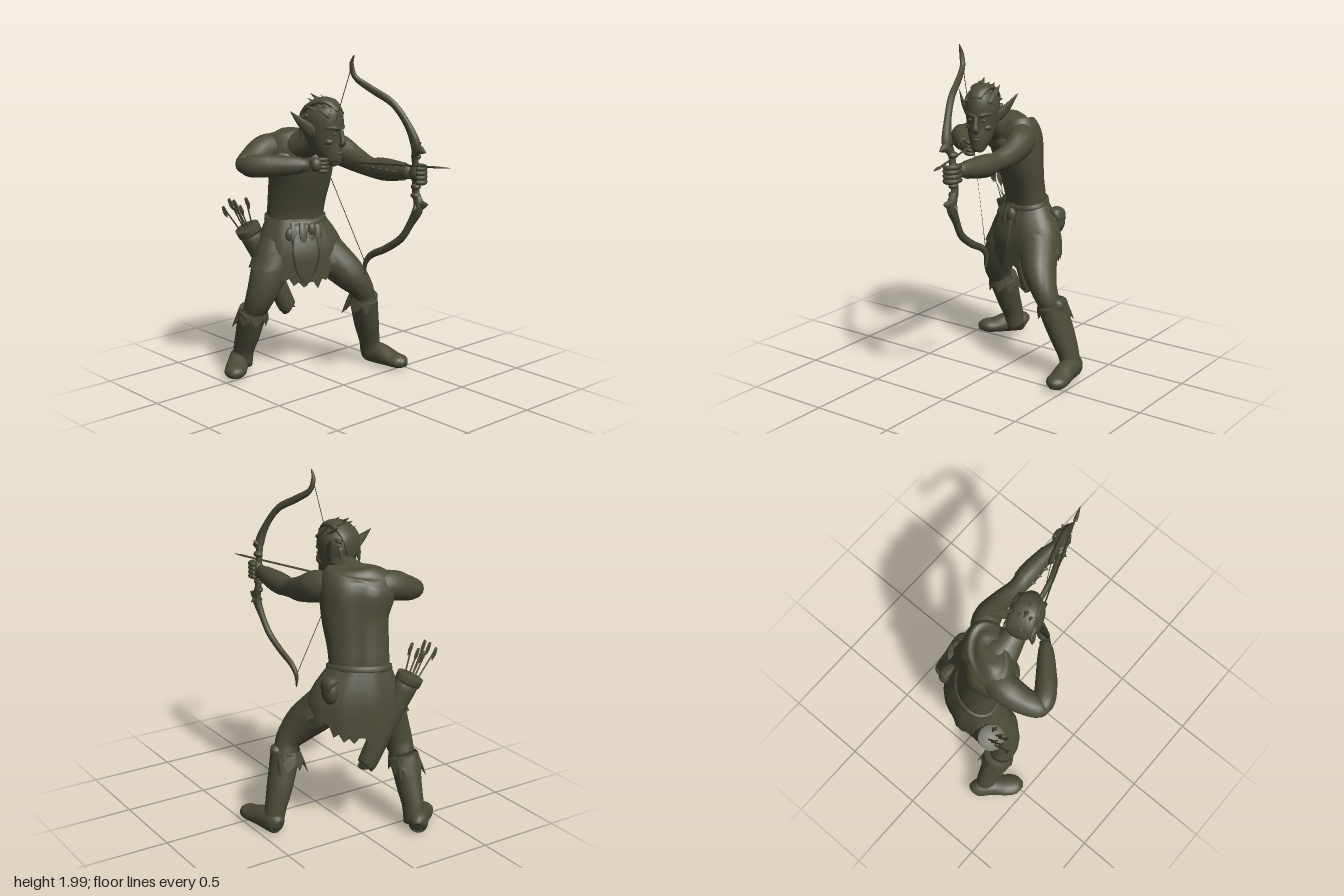
import * as THREE from 'three';

const V = (x, y, z) => new THREE.Vector3(x, y, z);
const olive = new THREE.MeshStandardMaterial({ color: 0x4c4b39, side: THREE.DoubleSide });
olive.name = 'dark olive';

// Skin between closed rings of points; optional caps
function loft(rings, capped = true) {
  const n = rings[0].length, pos = [], idx = [];
  rings.forEach(r => r.forEach(p => pos.push(p.x, p.y, p.z)));
  for (let i = 0; i < rings.length - 1; i++) for (let j = 0; j < n; j++) {
    const a = i * n + j, b = i * n + (j + 1) % n;
    idx.push(a, b, b + n, a, b + n, a + n);
  }
  if (capped) [0, rings.length - 1].forEach(i => {
    const c = rings[i].reduce((s, p) => s.add(p), V(0, 0, 0)).divideScalar(n), k = pos.length / 3;
    pos.push(c.x, c.y, c.z);
    for (let j = 0; j < n; j++) {
      const a = i * n + j, b = i * n + (j + 1) % n;
      i ? idx.push(k, a, b) : idx.push(k, b, a);
    }
  });
  const g = new THREE.BufferGeometry();
  g.setAttribute('position', new THREE.Float32BufferAttribute(pos, 3));
  g.setIndex(idx);
  g.computeVertexNormals();
  return g;
}

// Elliptical sections [x, y, z, a, b] swept along a smooth path; a lies along the side hint
function sweep(pts, hint = V(1, 0, 0), seg = 16, steps = 4, capped = true) {
  const path = new THREE.CatmullRomCurve3(pts.map(p => V(p[0], p[1], p[2])), false, 'catmullrom');
  const size = new THREE.CatmullRomCurve3(pts.map(p => V(p[3], p[4] ?? p[3], 0)), false, 'catmullrom');
  const rings = [], total = (pts.length - 1) * steps;
  for (let i = 0; i <= total; i++) {
    const c = path.getPoint(i / total), r = size.getPoint(i / total), t = path.getTangent(i / total);
    const s = hint.clone().addScaledVector(t, -t.dot(hint)).normalize(), o = t.clone().cross(s);
    rings.push(Array.from({ length: seg }, (_, j) => {
      const f = j / seg * Math.PI * 2;
      return c.clone().addScaledVector(s, Math.max(r.x, .001) * Math.cos(f)).addScaledVector(o, Math.max(r.y, .001) * Math.sin(f));
    }));
  }
  return loft(rings, capped);
}

export function createModel() {
  const root = new THREE.Group();
  const add = (name, geo, parent = root) => {
    const m = new THREE.Mesh(geo, olive);
    m.name = name;
    parent.add(m);
    return m;
  };
  const ball = (name, p, s, parent = root) => {
    const m = add(name, new THREE.SphereGeometry(1, 16, 12), parent);
    m.position.set(...p); m.scale.set(...s);
    return m;
  };
  const rod = (name, a, b, r, parent) => add(name, sweep([[...a, r], [...b, r]], V(.3, .2, .9), 6, 1), parent);
  const spike = (name, a, b, w, d = w, hint = V(1, 0, 0), parent = root) =>
    add(name, sweep([[...a, w, d], [...a.map((v, i) => (v + b[i]) / 2), w * .75, d * .75], [...b, .001, .001]], hint, 8, 3), parent);

  // Torso, turned towards the model's right, with a groove along the spine
  const side = V(.83, 0, .56), fwd = V(-.56, 0, .83);
  const torso = sweep([
    [-.05, .88, -.39, .17, .12], [-.045, 1.0, -.385, .17, .115], [-.05, 1.12, -.36, .175, .12],
    [-.055, 1.26, -.325, .19, .138], [-.075, 1.38, -.31, .212, .15], [-.09, 1.45, -.31, .21, .138],
    [-.1, 1.495, -.315, .18, .11], [-.1, 1.52, -.32, .12, .07], [-.1, 1.528, -.32, .03, .02]], side, 40);
  const tp = torso.attributes.position;
  for (let i = 0; i < tp.count; i++) {
    const p = V().fromBufferAttribute(tp, i), d = p.clone().sub(V(-.07, p.y, -.33));
    const u = d.dot(side), back = d.dot(fwd) < -.03 && p.y < 1.48 ? 1 : 0;
    p.addScaledVector(fwd, back * (.014 * Math.exp(-((u / .03) ** 2)) - .008 * Math.exp(-(((Math.abs(u) - .1) / .04) ** 2 + ((p.y - 1.38) / .08) ** 2))));
    tp.setXYZ(i, p.x, p.y, p.z);
  }
  torso.computeVertexNormals();
  add('torso', torso);
  for (const s of [-1, 1]) {
    const c = V(-.07, 1.365, -.31).addScaledVector(side, .085 * s).addScaledVector(fwd, .085);
    ball('chestMuscle', c.toArray(), [.095, .065, .07]).rotation.y = -.59;
  }
  add('neck', sweep([[-.1, 1.42, -.3, .14, .1], [-.11, 1.46, -.2, .095, .09], [-.11, 1.5, -.12, .07], [-.11, 1.54, -.04, .068]]));

  // Head, turned slightly to the left
  const head = new THREE.Group();
  head.name = 'head';
  head.position.set(-.11, 0, -.02);
  head.rotation.y = .3;
  root.add(head);
  add('skull', sweep([[0, 1.355, .06, .022, .016], [0, 1.37, .055, .038, .036], [0, 1.42, .03, .06, .07],
    [0, 1.49, -.005, .082, .1], [0, 1.56, -.025, .095, .122], [0, 1.63, -.025, .098, .122],
    [0, 1.68, -.035, .08, .1], [0, 1.71, -.04, .03, .04]], V(1, 0, 0), 24), head);
  add('nose', sweep([[0, 1.57, .09, .012], [0, 1.52, .102, .015], [0, 1.49, .107, .02, .016], [0, 1.475, .088, .014]]), head);
  add('lips', sweep([[-.035, 1.43, .065, .003], [0, 1.433, .094, .008], [.035, 1.43, .065, .003]], V(0, 1, 0), 8), head);
  for (const s of [-1, 1]) {
    add('brow', sweep([[0, 1.57, .09, .012], [s * .04, 1.578, .08, .014], [s * .078, 1.585, .04, .008]], V(0, 1, 0), 8), head);
    ball('eye', [s * .038, 1.545, .076], [.016, .01, .01], head);
    ball('cheek', [s * .048, 1.5, .036], [.03, .022, .035], head);
    add('ear', sweep([[s * .08, 1.53, -.03, .016, .012], [s * .1, 1.56, -.045, .034, .014],
      [s * .14, 1.61, -.08, .027, .01], [s * .18, 1.675, -.13, .002, .002]], V(0, 1, .4), 10), head);
  }
  add('hair', sweep([[0, 1.67, .085, .03, .012], [0, 1.715, .03, .055, .02], [0, 1.715, -.05, .07, .024],
    [0, 1.66, -.125, .075, .02], [0, 1.58, -.14, .06, .016], [0, 1.52, -.125, .03, .012]], V(1, 0, 0), 16), head);
  for (let i = 0; i < 18; i++) {
    const u = (i % 6 - 2.5) / 2.5, row = Math.floor(i / 6), z = .06 - row * .07;
    const y = [1.685, 1.705, 1.685][row] - .04 * u * u;
    spike('hairLock', [u * .065, y, z], [u * .08, y + [.05, .035, -.035][row] + (i % 3) * .012, z - [.09, .09, .07][row]], .02, .014, V(1, 0, 0), head);
  }
  for (let i = -2; i <= 2; i++) spike('napeLock', [i * .035, 1.61, -.115], [i * .04, 1.49 + .02 * (i & 1), -.13], .024, .016, V(1, 0, 0), head);

  // Bow arm stretched forward
  add('leftArm', sweep([[.01, 1.42, -.27, .06, .07], [.08, 1.41, -.15, .08, .092], [.105, 1.365, -.02, .06, .075],
    [.095, 1.338, .12, .052, .057], [.1, 1.338, .22, .056, .062], [.1, 1.348, .34, .047, .052],
    [.09, 1.355, .46, .032, .038]], V(1, 0, 0)));
  add('leftBracer', sweep([[.1, 1.338, .18, .058, .063], [.1, 1.34, .26, .06, .065], [.096, 1.35, .4, .046, .05]], V(1, 0, 0), 16, 4, false));
  for (let i = 0; i < 4; i++) spike('bracerTie', [.05, 1.35, .2 + i * .055], [.025, 1.355, .21 + i * .055], .012);
  ball('leftPalm', [.09, 1.355, .5], [.036, .054, .048]);
  for (let i = 0; i < 4; i++) add('leftFinger', sweep([[.118, 1.392 - i * .026, .48, .014], [.122, 1.392 - i * .026, .53, .015],
    [.085, 1.389 - i * .026, .558, .014], [.052, 1.389 - i * .026, .535, .012]], V(0, 1, 0), 8));

  // Drawing arm, folded at the elbow
  add('rightUpperArm', sweep([[-.13, 1.43, -.37, .06, .07], [-.21, 1.427, -.38, .082, .086], [-.29, 1.412, -.382, .085, .086],
    [-.38, 1.378, -.362, .072, .075], [-.455, 1.358, -.33, .058, .062], [-.475, 1.355, -.3, .035]], V(0, 1, 0)));
  add('rightForearm', sweep([[-.475, 1.355, -.35, .035], [-.455, 1.355, -.29, .065, .06], [-.395, 1.36, -.2, .064, .06],
    [-.31, 1.365, -.1, .05, .046], [-.24, 1.37, -.025, .034, .03]], V(0, 1, 0)));
  add('rightBracer', sweep([[-.4, 1.36, -.205, .068, .062], [-.31, 1.365, -.1, .054, .05], [-.265, 1.368, -.05, .045, .04]], V(0, 1, 0), 16, 4, false));
  ball('rightPalm', [-.205, 1.37, .0], [.04, .042, .033]);
  for (let i = 0; i < 4; i++) add('rightFinger', sweep([[-.205, 1.4 - i * .022, .01, .012], [-.17, 1.4 - i * .022, .035, .012],
    [-.145, 1.397 - i * .022, .02, .011], [-.16, 1.395 - i * .022, -.005, .01]], V(0, 1, 0), 8));

  // Recurve bow with knuckled, thorny limbs
  add('bow', sweep([[-.1, 1.995, .195, .003, .004], [-.1, 1.94, .175, .012, .014], [-.083, 1.87, .19, .014, .018],
    [-.045, 1.81, .28, .015, .022], [.0, 1.74, .4, .017, .022], [.035, 1.63, .48, .018, .024], [.06, 1.52, .52, .024, .036],
    [.075, 1.45, .5, .018, .022], [.085, 1.36, .5, .018, .022], [.09, 1.25, .495, .018, .024], [.088, 1.17, .52, .024, .036],
    [.08, 1.07, .47, .018, .024], [.067, .97, .405, .018, .022], [.055, .89, .29, .016, .022], [.048, .84, .19, .015, .02],
    [.043, .78, .14, .012, .016], [.04, .705, .145, .003, .004]], V(1, 0, .1), 10));
  for (const [y, x, d] of [[1.5, .065, 1], [1.18, .088, -1]]) {
    spike('bowThorn', [x, y, .53], [x, y - .015 * d, .595], .018, .028);
    for (const s of [-1, 1]) spike('bowThorn', [x, y, .51], [x + s * .04, y + .03 * d, .52], .018, .018, V(0, 0, 1));
  }
  for (const y of [1.45, 1.28, 1.23]) ball('bowBinding', [.085, y, .5], [.026, .02, .03]);
  const nock = [-.15, 1.385, .0];
  rod('upperString', [-.1, 1.93, .175], nock, .0025);
  rod('lowerString', [.043, .78, .14], nock, .0025);
  rod('arrowShaft', [-.16, 1.385, -.02], [.1, 1.408, .65], .006);
  spike('arrowHead', [.09, 1.407, .63], [.125, 1.41, .72], .013, .006);

  // Belt, ragged skirt and hanging strips
  const belt = (y, f, a, b) => Array.from({ length: 40 }, (_, j) => {
    const t = j / 40 * Math.PI * 2;
    return V(-.045, y - f * Math.sin(t), -.385).addScaledVector(side, a * Math.cos(t)).addScaledVector(fwd, b * Math.sin(t));
  });
  add('belt', loft([belt(.965, .02, .178, .125), belt(.97, .02, .186, .132), belt(.995, .02, .184, .13), belt(1.0, .02, .17, .116)], false));
  const N = 56, hipSide = V(.92, 0, .39), hipFwd = V(-.39, 0, .92), skirtRows = [];
  for (let k = 0; k <= 8; k++) skirtRows.push(Array.from({ length: N }, (_, j) => {
    const f = j / N * Math.PI * 2, sn = Math.sin(f);
    const hem = .715 - .1 * sn ** 6 - [0, .035, .012, .05, .02, .06, .005][j % 7];
    const y = .99 + (hem - .99) * k / 8, e = Math.sin(Math.min(1, (.99 - y) / .24) * Math.PI / 2);
    return V(-.045 + .025 * e, y, -.385 + .012 * e)
      .addScaledVector(hipSide, (.175 + .095 * e) * Math.cos(f))
      .addScaledVector(hipFwd, (.122 + .053 * e) * sn * (1 + .03 * Math.sin(f * 9)));
  }));
  add('skirt', loft(skirtRows, false));
  // Points just outside the front of the skirt: u across, h height, d outwards
  const front = (u, h, d) => V(-.035, h, -.38).addScaledVector(hipSide, u).addScaledVector(hipFwd, d).toArray();
  for (let i = 0; i < 5; i++) {
    const u = -.11 + i * .05, d = .13 - u * u * 3;
    add('hangingStrip', sweep([[...front(u, .97, d), .016, .006], [...front(u, .89, d + .03), .024, .007],
      [...front(u, .79 - (i % 3) * .035, d + .045), .002, .002]], hipSide, 8));
  }
  add('frontPanel', sweep([[...front(0, .95, .13), .06, .008], [...front(0, .8, .178), .085, .008],
    [...front(0, .68, .18), .06, .006], [...front(0, .59, .175), .003]], hipSide, 10));
  ball('beltKnot', front(.05, .925, .14), [.03, .045, .025]);
  ball('beltPurse', front(-.08, .9, .125), [.035, .045, .025]);
  ball('sidePouch', [.17, .88, -.41], [.042, .075, .058]);
  add('pouchFlap', sweep([[.14, .95, -.41, .05, .02], [.18, .935, -.41, .055, .025], [.2, .89, -.41, .045, .012]], V(0, 0, 1), 10));

  // Quiver hung behind the right hip, with spare arrows
  add('quiver', sweep([[-.05, .4, -.455, .045], [-.065, .43, -.46, .057], [-.17, .68, -.5, .064], [-.28, .91, -.54, .07]], V(1, 0, 0), 16));
  add('quiverRim', sweep([[-.268, .885, -.537, .075], [-.288, .93, -.545, .077]], V(1, 0, 0), 16));
  for (let i = 0; i < 6; i++) {
    const u = i % 3 - 1, w = i < 3 ? -.02 : .025;
    const tip = [-.38 + u * .045 + w, 1.07 + (i % 2) * .04, -.55 + w];
    rod('spareArrow', [-.28 + u * .025, .88, -.54 + w], tip, .005);
    for (const h of [V(1, 0, 0), V(0, 0, 1)]) add('fletching', sweep([
      [tip[0] + .03, tip[1] - .07, tip[2], .002], [tip[0] + .018, tip[1] - .04, tip[2], .014, .003], [...tip, .01, .003]], h, 6, 2));
  }

  // Legs, boots and ragged cuffs
  const legs = {
    left: {
      thigh: [[.04, .88, -.36, .11], [.11, .76, -.295, .12], [.2, .625, -.18, .098, .108], [.27, .52, -.135, .072, .08], [.31, .42, -.155, .062]],
      boot: [[.305, .46, -.155, .079, .098], [.325, .38, -.165, .077, .092], [.363, .26, -.185, .07, .085], [.398, .15, -.198, .06, .07], [.418, .05, -.202, .056, .066]],
      foot: [[.415, .06, -.27, .02, .03], [.418, .068, -.24, .052, .064], [.43, .07, -.13, .058, .068], [.445, .054, -.03, .066, .046], [.452, .05, .03, .058, .04], [.455, .045, .068, .02, .02]],
      hint: V(1, 0, 0), out: [.95, .3]
    },
    right: {
      thigh: [[-.13, .88, -.42, .11], [-.19, .75, -.42, .118], [-.25, .61, -.415, .104], [-.29, .5, -.435, .084], [-.298, .41, -.48, .068]],
      boot: [[-.29, .42, -.49, .09, .09], [-.292, .35, -.518, .082, .086], [-.288, .25, -.557, .07, .08], [-.285, .15, -.6, .06, .07], [-.282, .05, -.62, .058, .066]],
      foot: [[-.25, .055, -.7, .02, .03], [-.265, .066, -.68, .054, .062], [-.325, .068, -.61, .06, .066], [-.39, .052, -.545, .068, .046], [-.435, .05, -.5, .06, .04], [-.465, .045, -.47, .02, .02]],
      hint: V(.7, 0, .7), out: [-.7, .7]
    }
  };
  for (const [name, L] of Object.entries(legs)) {
    add(name + 'Leg', sweep(L.thigh, V(1, 0, 0), 18));
    add(name + 'Boot', sweep(L.boot, V(1, 0, 0), 18));
    add(name + 'Foot', sweep(L.foot, L.hint, 18));
    // Skirt cloth draped over the thigh
    const [[hx, hy, hz], [tx, ty, tz, tr]] = L.thigh;
    const drape = [0, 1, 2, 3].map(k => Array.from({ length: 28 }, (_, j) => {
      const f = j / 28 * Math.PI * 2, t = .7 + k * .22 + (k === 3 ? .05 * (j % 3) : 0), r = tr + .006 + k * .001;
      return V(hx + (tx - hx) * t + r * Math.cos(f), hy + (ty - hy) * t, hz + (tz - hz) * t + r * Math.sin(f));
    }));
    add(name + 'ThighDrape', loft(drape, false));
    const [x, y, z] = L.boot[0];
    const cuff = [0, 1, 2].map(k => Array.from({ length: 24 }, (_, j) => {
      const f = j / 24 * Math.PI * 2, r = .082 + k * .006;
      return V(x + r * Math.cos(f), y + .02 - k * (.03 + .012 * (j % 3)), z - k * .008 + r * 1.12 * Math.sin(f));
    }));
    add(name + 'BootCuff', loft(cuff, false));
    ball(name + 'KneePatch', [x + L.out[0] * .055, y, z + L.out[1] * .055], [.035, .04, .035]);
    for (const s of [-1, 1]) spike(name + 'CuffTag', [x + s * .07, y - .01, z - .04], [x + s * .09, y - .11, z - .1], .022, .008, V(0, 0, 1));
  }
  return root;
}
